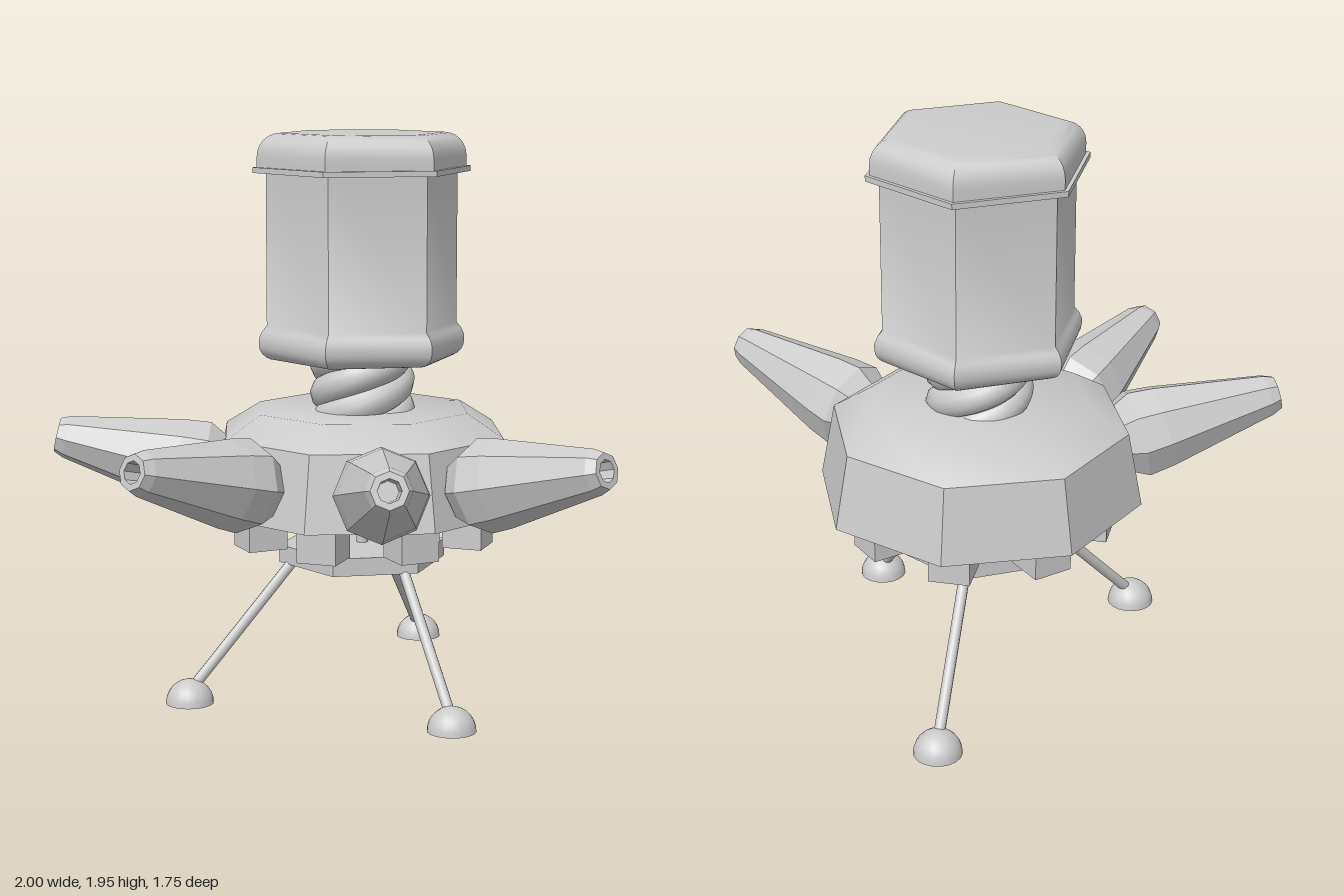
import * as THREE from 'three';
import { toCreasedNormals } from 'three/addons/utils/BufferGeometryUtils.js';

const material = new THREE.MeshStandardMaterial({ color: 0xcccccc });
const flatMaterial = new THREE.MeshStandardMaterial({ color: 0xcccccc, flatShading: true });
const V = (x, y, z) => new THREE.Vector3(x, y, z);

function add(parent, name, geometry, mat = material) {
  const mesh = new THREE.Mesh(geometry, mat);
  mesh.name = name;
  parent.add(mesh);
  return mesh;
}

// Faceted solid of revolution, profile given bottom to top as [radius, y]
function lathe(profile, sides) {
  return new THREE.LatheGeometry(profile.map(([r, y]) => new THREE.Vector2(r, y)), sides);
}
const creasedLathe = (profile, sides) => toCreasedNormals(lathe(profile, sides), 0.65);

// Quarter-round profile points around (cx, cy)
function arc(cx, cy, rx, ry, from, to, steps) {
  return Array.from({ length: steps + 1 }, (_, i) => {
    const a = from + (to - from) * i / steps;
    return [cx + rx * Math.cos(a), cy + ry * Math.sin(a)];
  });
}

// Straight rod between two points
function rod(parent, name, a, b, radius) {
  const dir = b.clone().sub(a);
  const mesh = add(parent, name, new THREE.CylinderGeometry(radius, radius, dir.length(), 10));
  mesh.position.copy(a).addScaledVector(dir, 0.5);
  mesh.quaternion.setFromUnitVectors(V(0, 1, 0), dir.normalize());
}

// Tapered eight-sided nozzle with a bored tip, from its widest ring to its tip
function nozzle(parent, name, base, tip) {
  const d = tip.clone().sub(base), n = d.length();
  const mesh = add(parent, name, lathe([
    [0, -0.1], [0.08, -0.1], [0.12, -0.065], [0.16, 0.01], [0.15, 0.1],
    [0.075, n - 0.02], [0.06, n + 0.015], [0.038, n + 0.015], [0.034, n - 0.08], [0, n - 0.08],
  ], 8), flatMaterial);
  mesh.position.copy(base);
  mesh.rotation.set(Math.atan2(Math.hypot(d.x, d.z), d.y), Math.atan2(d.x, d.z), 0, 'YXZ');
}

export function createModel() {
  const model = new THREE.Group();
  model.name = 'nozzleMachine';

  // Everything on the central axis
  const core = new THREE.Group();
  core.name = 'core';
  core.position.set(-0.01, 0, -0.138);
  model.add(core);

  // Octagonal body
  add(core, 'body', creasedLathe([
    [0, 0.65], [0.565, 0.65], [0.515, 0.91], [0.385, 0.99], [0, 0.99],
  ], 8));

  // Ring of blocks under the body
  for (let i = 0; i < 8; i++) {
    const a = i * Math.PI / 4;
    const block = add(core, 'underBlock', new THREE.BoxGeometry(0.14, 0.13, 0.14));
    block.position.set(0.388 * Math.sin(a), 0.592, 0.388 * Math.cos(a));
    block.rotation.y = a;
  }

  // Hexagonal stand plate and its pin
  add(core, 'standPlate', creasedLathe([[0, 0.448], [0.296, 0.448], [0.296, 0.51], [0, 0.51]], 6));
  rod(core, 'standPin', V(0, 0.5, 0), V(0, 0.66, 0), 0.02);

  // Twisted neck made of helical strands
  const strands = 3, pitch = 0.3;
  for (let s = 0; s < strands; s++) {
    const points = Array.from({ length: 21 }, (_, i) => {
      const y = 0.94 + 0.29 * i / 20;
      const a = (y / pitch + s / strands) * Math.PI * 2;
      return V(0.125 * Math.sin(a), y, 0.125 * Math.cos(a));
    });
    add(core, 'neckStrand', new THREE.TubeGeometry(new THREE.CatmullRomCurve3(points), 40, 0.058, 10));
  }

  // Hexagonal tank with a flared, rounded foot
  add(core, 'tank', creasedLathe([
    [0, 1.165], ...arc(0.305, 1.22, 0.058, 0.055, -Math.PI / 2, 0, 5),
    [0.363, 1.24], [0.352, 1.265], [0.335, 1.285], [0.335, 1.82], [0, 1.82],
  ], 6));

  // Lid with a thin flange and rounded top
  add(core, 'lidFlange', creasedLathe([[0, 1.81], [0.381, 1.81], [0.381, 1.829], [0, 1.829]], 6));
  add(core, 'lid', creasedLathe([
    [0, 1.825], [0.366, 1.825], ...arc(0.286, 1.865, 0.08, 0.08, 0, Math.PI / 2, 6), [0, 1.945],
  ], 6));

  // Four nozzles, mirrored left and right
  for (const s of [1, -1]) {
    const side = s > 0 ? 'left' : 'right';
    nozzle(model, side + 'OuterNozzle', V(s * 0.505, 0.79, 0.11), V(s * 0.96, 0.905, 0.3));
    nozzle(model, side + 'FrontNozzle', V(s * 0.24, 0.79, 0.375), V(s * 0.425, 0.905, 0.83));
  }

  // Three legs with domed feet
  const legs = [
    [V(0.185, 0.47, 0), V(0.467, 0.04, 0.313)],
    [V(-0.205, 0.47, 0), V(-0.48, 0.04, 0.313)],
    [V(-0.015, 0.47, -0.365), V(-0.018, 0.04, -0.8)],
  ];
  for (const [top, bottom] of legs) {
    rod(model, 'leg', top, bottom, 0.019);
    const foot = add(model, 'foot', creasedLathe(
      [[0, 0], ...arc(0, 0, 0.083, 0.083, 0, Math.PI / 2, 7)], 18));
    foot.position.set(bottom.x, 0, bottom.z);
  }

  return model;
}
